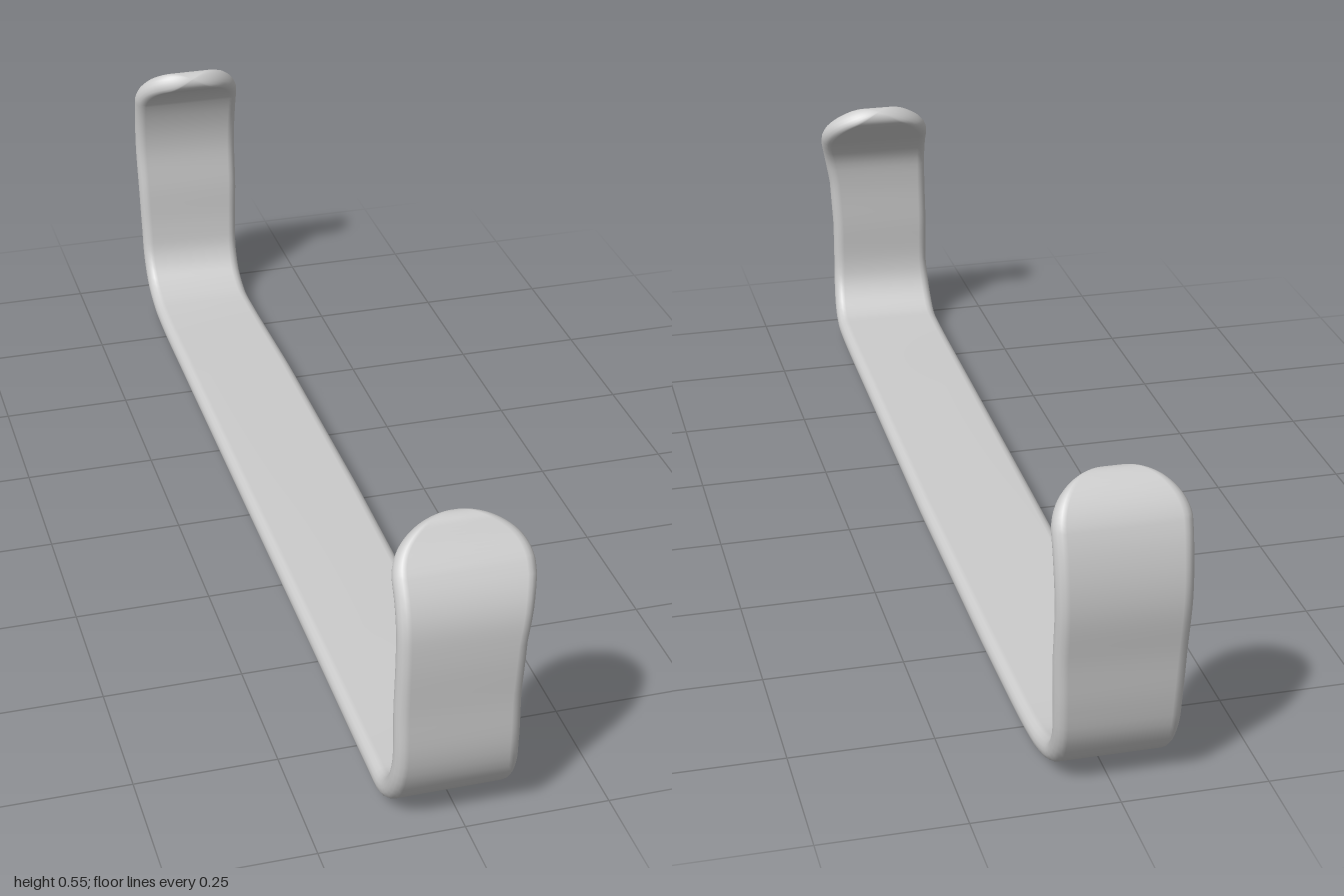
import * as THREE from 'three';

// strap centre line from front tip to back tip: z, y, right edge x, left edge x
const PATH = [
  [0.876, 0.542, -0.11, 0.115], [0.905, 0.508, -0.114, 0.12], [0.95, 0.457, -0.116, 0.119],
  [0.974, 0.41, -0.118, 0.108], [0.981, 0.35, -0.119, 0.097], [0.981, 0.25, -0.121, 0.091],
  [0.98, 0.15, -0.12, 0.091], [0.968, 0.105, -0.122, 0.094], [0.937, 0.062, -0.123, 0.098],
  [0.9, 0.04, -0.122, 0.1], [0.84, 0.036, -0.121, 0.102], [0.5, 0.035, -0.119, 0.106],
  [0, 0.033, -0.117, 0.111], [-0.5, 0.029, -0.114, 0.109], [-0.78, 0.026, -0.111, 0.103],
  [-0.85, 0.033, -0.11, 0.1], [-0.91, 0.061, -0.11, 0.1], [-0.944, 0.11, -0.11, 0.101],
  [-0.957, 0.17, -0.11, 0.104], [-0.966, 0.26, -0.112, 0.108], [-0.977, 0.36, -0.114, 0.109],
  [-0.97, 0.43, -0.115, 0.11], [-0.95, 0.49, -0.117, 0.11], [-0.92, 0.527, -0.116, 0.11],
  [-0.884, 0.55, -0.114, 0.109],
];
const HALF_THICKNESS = 0.02;
const TIP = 0.1; // length of the rounded tips along the strap

// quarter-ellipse taper
const roundOff = (d, len) => (d >= len ? 1 : Math.sqrt(Math.max(0, 1 - (1 - d / len) ** 2)));

function strapGeometry() {
  const centre = new THREE.CatmullRomCurve3(PATH.map(([z, y]) => new THREE.Vector3(0, y, z)));
  centre.arcLengthDivisions = 1000;
  const length = centre.getLength();

  // ring distances: crowded at the tips, even between them
  const tips = [];
  for (let i = 0; i < 20; i++) tips.push(TIP * (1 - Math.cos((i / 20) * Math.PI / 2)));
  const dist = [...tips];
  for (let i = 0; i <= 150; i++) dist.push(TIP + (length - 2 * TIP) * (i / 150));
  dist.push(...tips.map((d) => length - d).reverse());

  const HALF = 9, RING = 2 * HALF;
  const pos = [], index = [];
  const axis = new THREE.Vector3(1, 0, 0);
  dist.forEach((d, i) => {
    const t = centre.getUtoTmapping(d / length);
    const p = centre.getPoint(t);
    const n = centre.getTangent(t).cross(axis).normalize();
    // edges interpolated between the path rows
    const f = t * (PATH.length - 1), k = Math.min(Math.floor(f), PATH.length - 2);
    const edge = (c) => THREE.MathUtils.lerp(PATH[k][c], PATH[k + 1][c], f - k);
    const end = Math.min(d, length - d);
    const mid = (edge(2) + edge(3)) / 2;
    const a = ((edge(3) - edge(2)) / 2) * roundOff(end, TIP);
    const b = HALF_THICKNESS * roundOff(end, 0.022);
    // stadium-shaped cross-section
    for (let j = 0; j < RING; j++) {
      const side = j < HALF ? 1 : -1;
      const ang = -Math.PI / 2 + (Math.PI * (j % HALF)) / (HALF - 1);
      const x = side * (Math.max(a - b, 0) + Math.cos(ang) * Math.min(a, b));
      const h = side * Math.sin(ang) * b;
      pos.push(mid + x, p.y + n.y * h, p.z + n.z * h);
      if (i < dist.length - 1) {
        const q = i * RING + j, r = i * RING + ((j + 1) % RING);
        index.push(q, r, q + RING, r, r + RING, q + RING);
      }
    }
  });

  const geo = new THREE.BufferGeometry();
  geo.setAttribute('position', new THREE.Float32BufferAttribute(pos, 3));
  geo.setIndex(index);
  geo.computeVertexNormals();
  return geo;
}

export function createModel() {
  const group = new THREE.Group();
  group.name = 'bentStrap';
  const strap = new THREE.Mesh(
    strapGeometry(),
    new THREE.MeshStandardMaterial({ color: 0xcccccc })
  );
  strap.name = 'strap';
  group.add(strap);
  return group;
}
